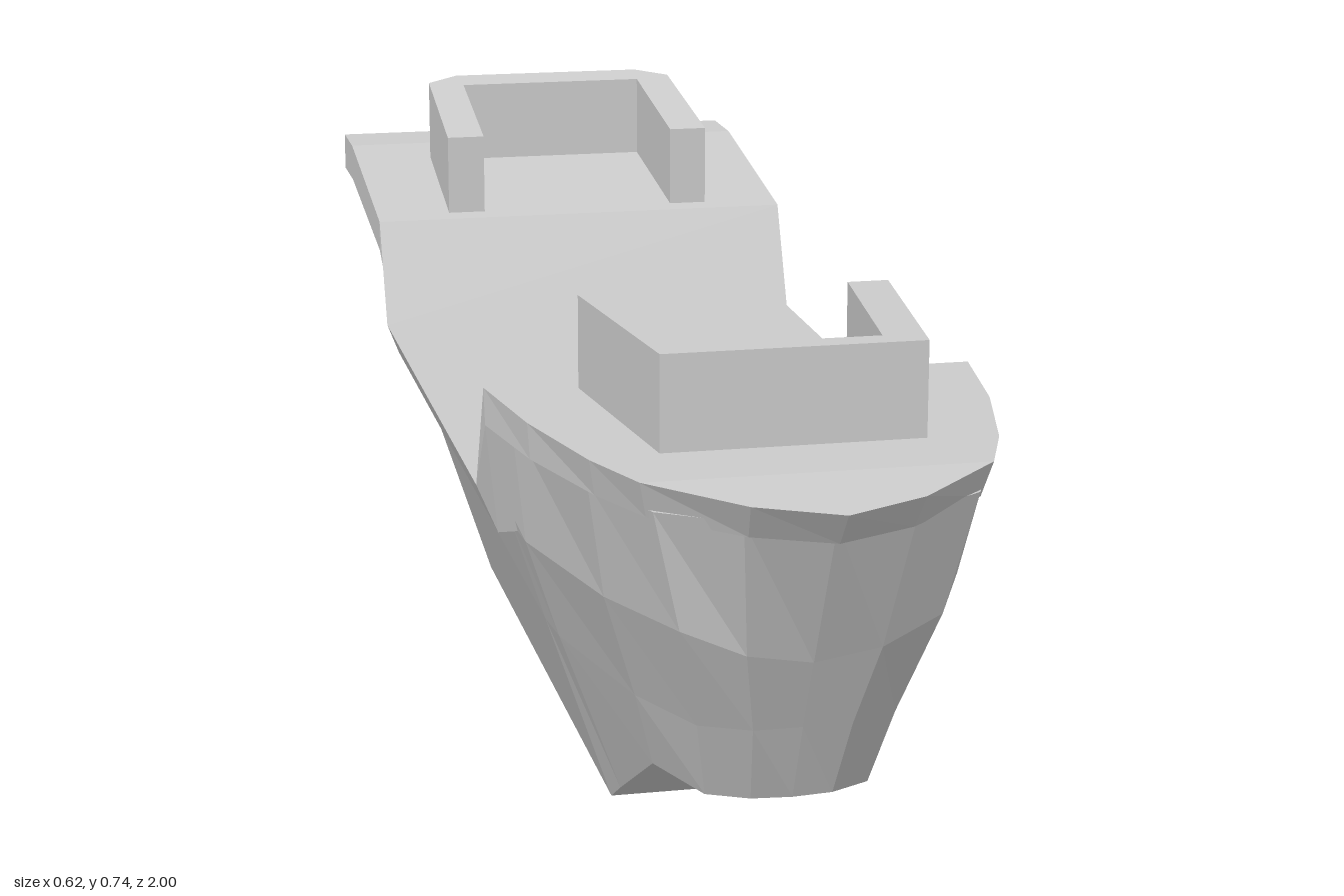
import * as THREE from 'three';

const material = new THREE.MeshStandardMaterial({
  color: 0xcccccc, flatShading: true, side: THREE.DoubleSide,
});

// Lofts mirrored sections, ordered stern to bow. Each section lists [x, y, z]
// points on the left half from the lowest to the highest.
function loft(name, sections) {
  const rings = sections.map((half) => [
    ...[...half].reverse().map(([x, y, z]) => [-x, y, z]), ...half,
  ]);
  const n = rings[0].length;
  const pos = [];
  const quad = (a, b, c, d) => pos.push(...a, ...b, ...c, ...a, ...c, ...d);
  for (let i = 0; i < rings.length - 1; i++) {
    for (let j = 0; j < n; j++) {
      const k = (j + 1) % n;
      quad(rings[i][j], rings[i][k], rings[i + 1][k], rings[i + 1][j]);
    }
  }
  // flat end at the stern
  const s = rings[0];
  for (let j = 0; j < n / 2 - 1; j++) quad(s[n - 1 - j], s[n - 2 - j], s[j + 1], s[j]);
  const geo = new THREE.BufferGeometry();
  geo.setAttribute('position', new THREE.Float32BufferAttribute(pos, 3));
  geo.computeVertexNormals();
  const mesh = new THREE.Mesh(geo, material);
  mesh.name = name;
  return mesh;
}

// U-shaped wall from half outlines in [x, z], running from the open end
// to the closed end; slope raises it towards the stern from z0.
function uWall(name, outer, inner, y0, height, slope = 0, z0 = 0) {
  const flip = (pts) => [...pts].reverse().map(([x, z]) => [-x, z]);
  const outline = [...outer, ...flip(outer), ...[...inner, ...flip(inner)].reverse()];
  const shape = new THREE.Shape(outline.map(([x, z]) => new THREE.Vector2(x, -z)));
  const geo = new THREE.ExtrudeGeometry(shape, { depth: height, bevelEnabled: false });
  geo.rotateX(-Math.PI / 2);
  const p = geo.attributes.position;
  for (let i = 0; i < p.count; i++) {
    p.setY(i, p.getY(i) + y0 + slope * (z0 - p.getZ(i)));
  }
  geo.computeVertexNormals();
  const mesh = new THREE.Mesh(geo, material);
  mesh.name = name;
  return mesh;
}

export function createModel() {
  const ship = new THREE.Group();
  ship.name = 'ship';

  // Hull: keel edge, low, middle and top line at each station
  ship.add(loft('hull', [
    [[0.14, 0, -0.615], [0.14, 0.25, -0.78], [0.19, 0.36, -0.955], [0.28, 0.58, -0.97]],
    [[0.14, 0, -0.615], [0.14, 0.25, -0.78], [0.21, 0.40, -0.80], [0.28, 0.555, -0.80]],
    [[0.14, 0, -0.61], [0.222, 0.25, -0.60], [0.267, 0.38, -0.59], [0.28, 0.54, -0.58]],
    [[0.14, 0, -0.60], [0.225, 0.25, -0.53], [0.267, 0.38, -0.51], [0.275, 0.41, -0.50]],
    [[0.14, 0, 0.37], [0.225, 0.25, 0.37], [0.267, 0.38, 0.37], [0.275, 0.41, 0.37]],
    [[0.14, 0.035, 0.43], [0.22, 0.25, 0.44], [0.263, 0.38, 0.45], [0.28, 0.54, 0.45]],
    [[0.14, 0.145, 0.63], [0.17, 0.25, 0.67], [0.215, 0.39, 0.71], [0.24, 0.54, 0.74]],
    [[0.10, 0.145, 0.74], [0.12, 0.25, 0.785], [0.155, 0.39, 0.85], [0.19, 0.54, 0.87]],
    [[0.05, 0.145, 0.765], [0.06, 0.25, 0.815], [0.08, 0.36, 0.865], [0.10, 0.54, 0.93]],
    [[0, 0.145, 0.77], [0, 0.25, 0.815], [0, 0.345, 0.86], [0, 0.54, 0.955]],
  ]));

  // Stepped deck with its overhanging rim: lower and upper edge at each station
  ship.add(loft('deck', [
    [[0.31, 0.575, -1], [0.31, 0.63, -1]],
    [[0.31, 0.575, -0.90], [0.31, 0.63, -0.90]],
    [[0.31, 0.53, -0.57], [0.31, 0.575, -0.565]],
    [[0.29, 0.38, -0.525], [0.31, 0.43, -0.50]],
    [[0.29, 0.38, 0.405], [0.31, 0.43, 0.36]],
    [[0.31, 0.53, 0.44], [0.31, 0.575, 0.43]],
    [[0.282, 0.53, 0.60], [0.285, 0.575, 0.60]],
    [[0.235, 0.53, 0.76], [0.243, 0.575, 0.77]],
    [[0.195, 0.53, 0.855], [0.205, 0.575, 0.87]],
    [[0.095, 0.523, 0.93], [0.10, 0.567, 0.96]],
    [[0, 0.52, 0.965], [0, 0.563, 1]],
  ]));

  // Deck shelters
  ship.add(uWall('bowShelter',
    [[0.196, 0.455], [0.159, 0.76]], [[0.144, 0.455], [0.112, 0.727]], 0.565, 0.127));
  ship.add(uWall('sternShelter',
    [[0.2, -0.59], [0.193, -0.835], [0.145, -0.865]], [[0.145, -0.59], [0.14, -0.82]],
    0.565, 0.13, 0.175, -0.59));

  // Ledge behind the stern shelter
  const ledge = new THREE.Mesh(new THREE.BoxGeometry(0.284, 0.07, 0.05), material);
  ledge.name = 'sternLedge';
  ledge.position.set(0, 0.645, -0.88);
  ship.add(ledge);

  return ship;
}
